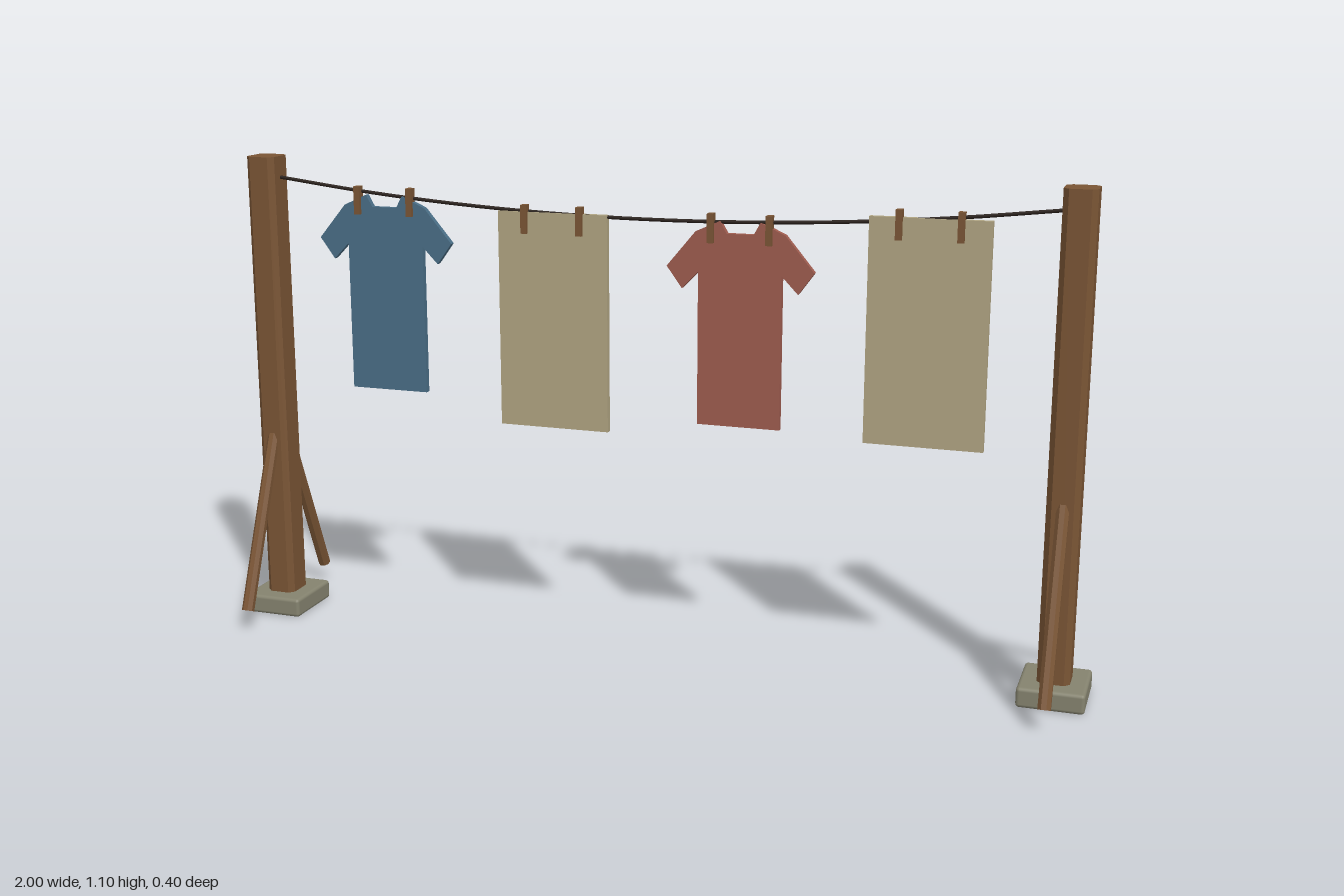
import * as THREE from 'three';
import { RoundedBoxGeometry } from 'three/addons/geometries/RoundedBoxGeometry.js';

const material = (name, color, flatShading = false) =>
  new THREE.MeshStandardMaterial({ name, color, flatShading });

export function createModel() {
  const wood = material('wood', 0x7a5535, true);
  const stone = material('stone', 0x85836f);
  const cord = material('cord', 0x2a211c);
  const blue = material('blueCloth', 0x4a6e86);
  const red = material('redCloth', 0x9e5c4f);
  const linen = material('linenCloth', 0xb0a482);

  const model = new THREE.Group();
  model.name = 'clothesline';

  const add = (parent, name, geometry, mat, x = 0, y = 0, z = 0) => {
    const mesh = new THREE.Mesh(geometry, mat);
    mesh.name = name;
    mesh.position.set(x, y, z);
    parent.add(mesh);
    return mesh;
  };
  const extrude = (points, depth) =>
    new THREE.ExtrudeGeometry(
      new THREE.Shape(points.map(([x, y]) => new THREE.Vector2(x, y))),
      { depth, bevelEnabled: false });

  // Upright prism with chamfered vertical edges
  const chamferedPost = (w, d, h, c) => {
    const a = w / 2, b = d / 2;
    return extrude([
      [a, -b + c], [a, b - c], [a - c, b], [-a + c, b],
      [-a, b - c], [-a, -b + c], [-a + c, -b], [a - c, -b],
    ], h).rotateX(-Math.PI / 2);
  };

  // Posts with stone feet and a diagonal brace on either side
  for (const side of [-1, 1]) {
    const support = new THREE.Group();
    support.name = side > 0 ? 'leftSupport' : 'rightSupport';
    support.position.x = side * 0.927;
    model.add(support);

    add(support, 'foot', new RoundedBoxGeometry(0.145, 0.045, 0.16, 2, 0.008), stone, 0, 0.0225);
    add(support, 'post', chamferedPost(0.07, 0.078, 1.07, 0.012), wood, 0, 0.03);

    for (const dir of [-1, 1]) {
      const top = new THREE.Vector3(0, 0.44, dir * 0.028);
      const bottom = new THREE.Vector3(0, 0.048, dir * 0.189);
      const along = top.clone().sub(bottom);
      const brace = add(support, dir > 0 ? 'frontBrace' : 'backBrace',
        new THREE.CylinderGeometry(0.0145, 0.0145, along.length(), 8)
          .rotateY(Math.PI / 8), wood);
      brace.position.copy(top).add(bottom).multiplyScalar(0.5);
      brace.quaternion.setFromUnitVectors(new THREE.Vector3(0, 1, 0), along.normalize());
    }
  }

  // Sagging line between the posts
  const linePoints = [];
  for (let i = -4; i <= 4; i++) {
    const t = i / 4;
    linePoints.push(new THREE.Vector3(t * 0.9, 0.993 + 0.059 * t * t, 0));
  }
  add(model, 'line', new THREE.TubeGeometry(
    new THREE.CatmullRomCurve3(linePoints), 32, 0.004, 8), cord);

  // Cloth outlines: right half measured from the hem, mirrored to the other side
  const thickness = 0.014;
  const shirtHalf = [
    [0.0935, 0], [0.0935, 0.34], [0.13, 0.302], [0.165, 0.35],
    [0.1, 0.428], [0.045, 0.453], [0.03, 0.426],
  ];
  const towelHalf = [[0.129, 0], [0.129, 0.49]];
  const cloth = (half) => {
    const mirrored = half.map(([x, y]) => [-x, y]).reverse();
    return extrude([...half, ...mirrored], thickness).translate(0, 0, -thickness / 2);
  };

  // Hanging laundry, each piece held by two pegs
  const laundry = [
    { name: 'blueShirt', half: shirtHalf, mat: blue, x: -0.626, hem: 0.567, pegY: 1.007 },
    { name: 'innerTowel', half: towelHalf, mat: linen, x: -0.216, hem: 0.508, pegY: 0.982 },
    { name: 'redShirt', half: shirtHalf, mat: red, x: 0.216, hem: 0.545, pegY: 0.982 },
    { name: 'outerTowel', half: towelHalf, mat: linen, x: 0.624, hem: 0.533, pegY: 1.008 },
  ];
  for (const { name, half, mat, x, hem, pegY } of laundry) {
    add(model, name, cloth(half), mat, x, hem);
    for (const side of [-1, 1]) {
      add(model, name + 'Peg', new THREE.BoxGeometry(0.014, 0.064, 0.02),
        wood, x + side * 0.065, pegY, 0.006);
    }
  }

  return model;
}
